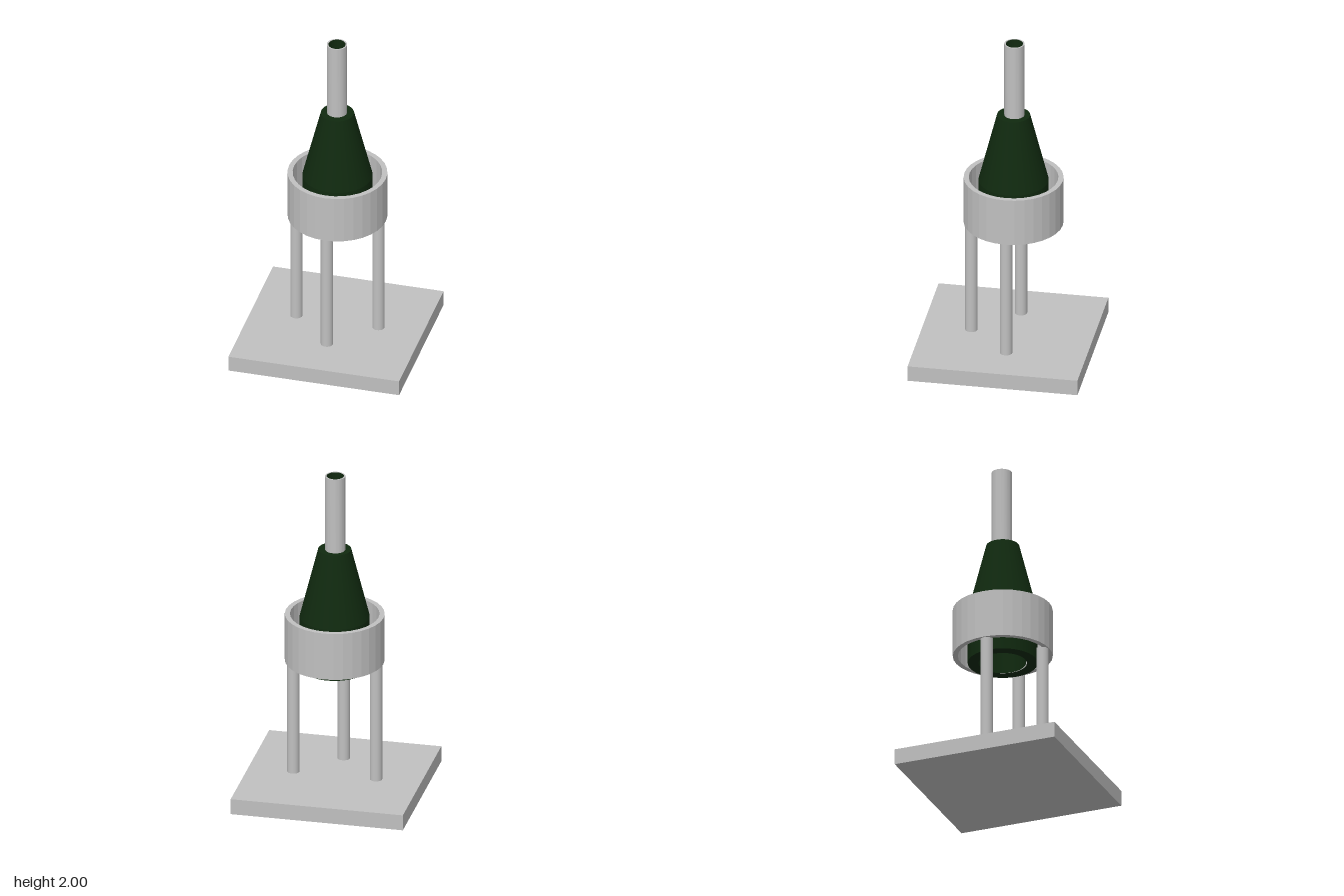
import * as THREE from 'three';
import { toCreasedNormals } from 'three/addons/utils/BufferGeometryUtils.js';

const CZ = -0.033; // shared axis of ring and nozzle

export function createModel() {
  const group = new THREE.Group();
  const grey = new THREE.MeshStandardMaterial({ color: 0xc0c0c0 });
  grey.name = 'light grey';
  const green = new THREE.MeshStandardMaterial({ color: 0x10290f });
  green.name = 'dark green';

  const add = (name, geometry, material, x, y, z) => {
    const mesh = new THREE.Mesh(geometry, material);
    mesh.name = name;
    mesh.position.set(x, y, z);
    group.add(mesh);
  };
  // Profile runs up the outside and down the inside
  const lathe = (profile, segments, crease) => toCreasedNormals(
    new THREE.LatheGeometry(profile.map(([r, y]) => new THREE.Vector2(r, y)), segments), crease);

  // Base plate
  add('basePlate', new THREE.BoxGeometry(1.024, 0.095, 1.0), grey, 0, 0.0475, 0);

  // Three legs: left, right and front
  for (const [name, x, z] of [['leftLeg', 0.246, CZ], ['rightLeg', -0.246, CZ], ['frontLeg', 0.003, 0.215]]) {
    add(name, new THREE.CylinderGeometry(0.036, 0.036, 0.745, 32), grey, x, 0.4625, z);
  }

  // Faceted holding ring
  add('holderRing', lathe([
    [0.26, 0.83], [0.29, 0.83], [0.29, 1.122], [0.26, 1.122], [0.26, 0.83],
  ], 32, 0.1), grey, 0, 0, CZ);

  // Hollow body: cylinder below, cone above, with a tapering bore
  add('nozzleBody', lathe([
    [0.14, 0.785], [0.203, 0.785], [0.203, 1.108], [0.096, 1.533], [0.05, 1.533],
  ], 64, 0.2), green, 0, 0, CZ);
  add('nozzleBore', lathe([
    [0.05, 2.0], [0.05, 1.5], [0.14, 1.1], [0.14, 0.785],
  ], 64, 0.2), green, -0.004, 0, CZ - 0.004);

  // Pipe on top, open at its end
  add('topPipe', lathe([
    [0.059, 1.5], [0.059, 2.0], [0.05, 2.0],
  ], 48, 0.5), grey, -0.004, 0, CZ - 0.004);

  return group;
}
